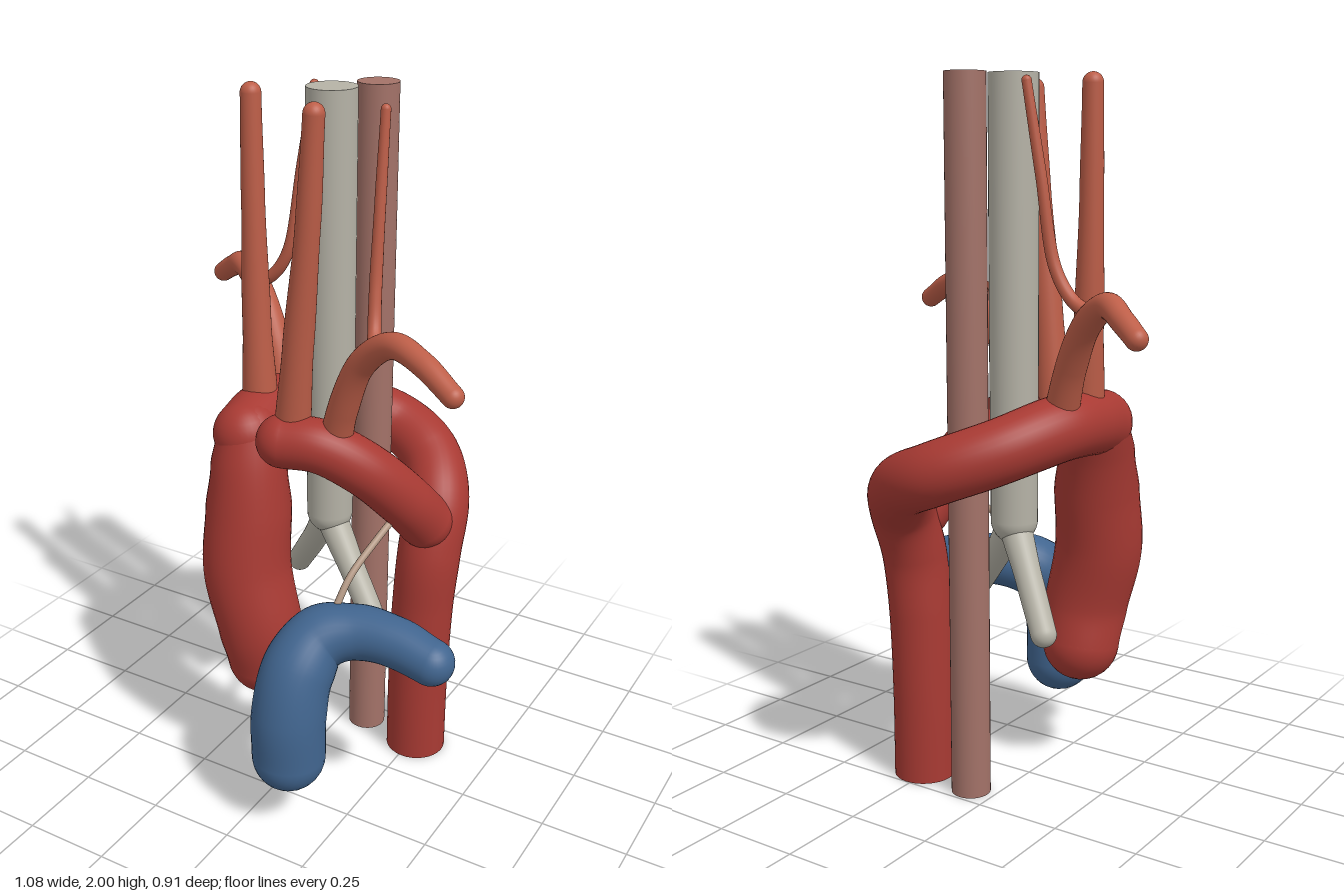
import * as THREE from 'three';

const mat = (name, color) => {
  const m = new THREE.MeshStandardMaterial({ color });
  m.name = name;
  return m;
};

// Tapered tube through points [x, y, z, radius]; ends are 'round' or 'flat'.
function vessel(name, material, pts, { start = 'round', end = 'round', steps = 64, sides = 32 } = {}) {
  const group = new THREE.Group();
  group.name = name;
  const curve = new THREE.CatmullRomCurve3(pts.map(p => new THREE.Vector3(p[0], p[1], p[2])));
  const lengths = curve.getLengths(200);
  const total = lengths[200];
  const marks = pts.map((_, i) => lengths[Math.round(200 * i / (pts.length - 1))] / total);
  const radiusAt = u => {
    let i = 0;
    while (i < pts.length - 2 && u > marks[i + 1]) i++;
    const t = THREE.MathUtils.smoothstep(u, marks[i], marks[i + 1]);
    return THREE.MathUtils.lerp(pts[i][3], pts[i + 1][3], t);
  };

  // unit-radius tube, each ring scaled about the path
  const geo = new THREE.TubeGeometry(curve, steps, 1, sides, false);
  const pos = geo.attributes.position;
  const v = new THREE.Vector3();
  for (let i = 0; i <= steps; i++) {
    const centre = curve.getPointAt(i / steps);
    const r = radiusAt(i / steps);
    for (let j = 0; j <= sides; j++) {
      const k = i * (sides + 1) + j;
      v.fromBufferAttribute(pos, k).sub(centre).multiplyScalar(r).add(centre);
      pos.setXYZ(k, v.x, v.y, v.z);
    }
  }
  group.add(new THREE.Mesh(geo, material));

  // end caps
  [[0, start], [1, end]].forEach(([u, kind]) => {
    const r = radiusAt(u);
    const cap = new THREE.Mesh(kind === 'flat'
      ? new THREE.CircleGeometry(r, sides)
      : new THREE.SphereGeometry(r, sides, 16), material);
    const out = curve.getTangentAt(u).multiplyScalar(u ? 1 : -1);
    cap.quaternion.setFromUnitVectors(new THREE.Vector3(0, 0, 1), out);
    cap.position.copy(curve.getPointAt(u));
    group.add(cap);
  });
  group.children.forEach(m => { m.name = name; });
  return group;
}

export function createModel() {
  const model = new THREE.Group();
  model.name = 'doubleAorticArch';
  const red = mat('aorta red', 0xa83a33);
  const orange = mat('branch orange', 0xbd5e48);
  const blue = mat('pulmonary blue', 0x41658f);
  const grey = mat('airway grey', 0xb5b2a6);
  const brown = mat('esophagus brown', 0xa37268);
  const tan = mat('ligament tan', 0xb59a86);
  const add = (...args) => model.add(vessel(...args));

  // aorta: ascending part, large right arch running into the descending part, small left arch
  add('ascendingAorta', red, [
    [-0.085, 0.385, 0.148, 0.112], [-0.09, 0.5, 0.168, 0.122], [-0.13, 0.68, 0.168, 0.126],
    [-0.138, 0.85, 0.142, 0.122], [-0.15, 0.97, 0.118, 0.108], [-0.165, 1.06, 0.09, 0.092],
  ]);
  add('rightArchAndDescendingAorta', red, [
    [-0.17, 1.06, 0.1, 0.092], [-0.18, 1.075, 0, 0.092], [-0.17, 1.075, -0.13, 0.09],
    [-0.085, 1.03, -0.28, 0.087], [0.06, 0.97, -0.368, 0.086], [0.195, 0.91, -0.327, 0.087],
    [0.268, 0.82, -0.235, 0.092], [0.277, 0.68, -0.175, 0.092], [0.268, 0.5, -0.162, 0.09],
    [0.262, 0.25, -0.16, 0.089], [0.262, 0.005, -0.16, 0.089],
  ], { end: 'flat', steps: 120 });
  add('leftArch', red, [
    [-0.03, 1.08, 0.13, 0.075], [0.07, 1.075, 0.1, 0.075], [0.17, 1.01, 0.04, 0.076],
    [0.245, 0.89, -0.06, 0.078], [0.275, 0.795, -0.14, 0.08],
  ]);

  // pulmonary artery
  add('pulmonaryArtery', blue, [
    [0.115, 0.235, 0.348, 0.104], [0.115, 0.37, 0.345, 0.105], [0.12, 0.49, 0.305, 0.102],
    [0.145, 0.56, 0.23, 0.092], [0.23, 0.578, 0.175, 0.078], [0.34, 0.573, 0.158, 0.071],
    [0.455, 0.548, 0.162, 0.065],
  ]);
  add('arterialLigament', tan, [
    [0.235, 0.85, -0.06, 0.01], [0.215, 0.8, 0.03, 0.01], [0.185, 0.72, 0.13, 0.01], [0.165, 0.62, 0.195, 0.01],
  ], { sides: 12 });

  // airway and gullet
  add('trachea', grey, [[0.005, 2, -0.067, 0.068], [0.005, 1.4, -0.067, 0.068], [0.005, 0.79, -0.067, 0.066]],
    { start: 'flat' });
  add('leftBronchus', grey, [[0.01, 0.77, -0.066, 0.045], [0.13, 0.62, -0.01, 0.037], [0.255, 0.475, 0.052, 0.034]]);
  add('rightBronchus', grey, [[0, 0.77, -0.07, 0.045], [-0.085, 0.64, -0.125, 0.038], [-0.168, 0.52, -0.182, 0.036]]);
  add('esophagus', brown, [[0.075, 2, -0.187, 0.056], [0.075, 1, -0.187, 0.056], [0.075, 0.005, -0.187, 0.056]],
    { start: 'flat', end: 'flat' });

  // neck arteries
  add('rightCarotid', orange, [
    [-0.185, 1.12, 0, 0.05], [-0.197, 1.35, -0.008, 0.04], [-0.207, 1.7, -0.016, 0.032], [-0.212, 1.97, -0.022, 0.028],
  ]);
  add('leftCarotid', orange, [
    [-0.018, 1.1, 0.1, 0.05], [0.008, 1.35, 0.11, 0.042], [0.046, 1.7, 0.12, 0.033], [0.066, 1.97, 0.125, 0.028],
  ]);

  // arm arteries
  add('rightSubclavian', orange, [
    [-0.185, 1.12, -0.125, 0.046], [-0.23, 1.25, -0.15, 0.042], [-0.3, 1.37, -0.187, 0.038],
    [-0.385, 1.425, -0.232, 0.034], [-0.455, 1.395, -0.278, 0.031], [-0.51, 1.36, -0.308, 0.029],
  ]);
  add('leftSubclavian', orange, [
    [0.1, 1.08, 0.07, 0.045], [0.13, 1.19, 0.085, 0.042], [0.2, 1.345, 0.108, 0.038],
    [0.305, 1.425, 0.143, 0.035], [0.41, 1.41, 0.185, 0.032], [0.51, 1.36, 0.222, 0.029],
  ]);

  // thin vertebral arteries
  add('rightVertebral', orange, [
    [-0.31, 1.395, -0.188, 0.02], [-0.25, 1.43, -0.183, 0.018], [-0.2, 1.51, -0.183, 0.017],
    [-0.165, 1.74, -0.195, 0.015], [-0.13, 1.97, -0.207, 0.013],
  ], { sides: 16 });
  add('leftVertebral', orange, [
    [0.24, 1.385, 0.118, 0.02], [0.213, 1.43, 0.07, 0.018], [0.198, 1.52, 0.04, 0.017],
    [0.192, 1.74, 0.012, 0.015], [0.19, 1.97, -0.012, 0.013],
  ], { sides: 16 });

  return model;
}
